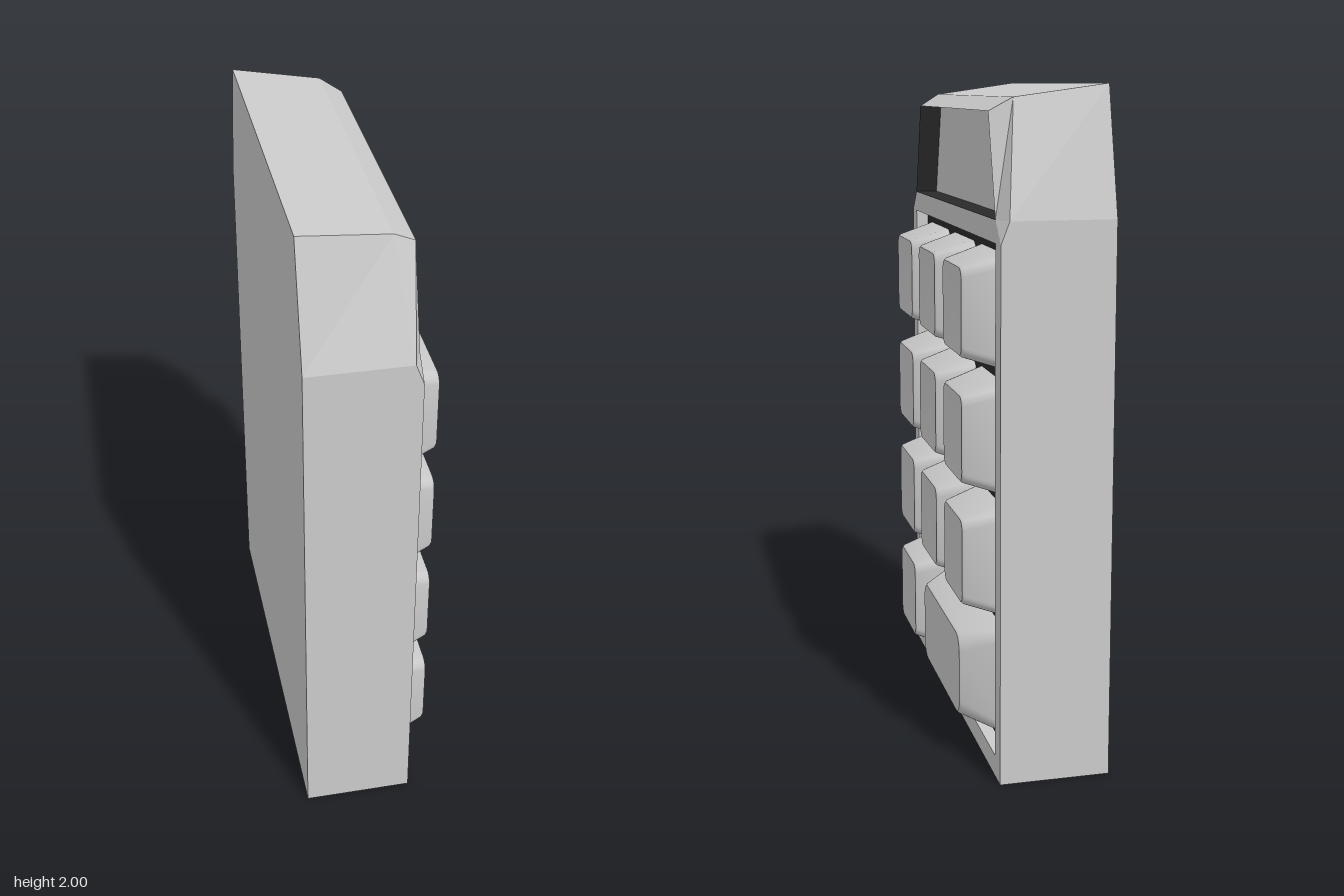
import * as THREE from 'three';
import { toCreasedNormals } from 'three/addons/utils/BufferGeometryUtils.js';

const grey = new THREE.MeshStandardMaterial({ color: 0xcccccc });
const dark = new THREE.MeshStandardMaterial({ color: 0x2a2a2a });

// Flat faces from polygons, each fanned from its first corner
function fromPolygons(polygons) {
  const pos = [];
  for (const p of polygons)
    for (let i = 1; i < p.length - 1; i++) pos.push(...p[0], ...p[i], ...p[i + 1]);
  const g = new THREE.BufferGeometry();
  g.setAttribute('position', new THREE.Float32BufferAttribute(pos, 3));
  g.computeVertexNormals();
  return g;
}

const mirror = ([x, y, z]) => [x, y, -z];
const mirrorFace = (face) => face.map(mirror).reverse();

// Inward walls of a recess whose rim runs anticlockwise seen from +x
const walls = (rim, floorX) => rim.map((p, i) => {
  const q = rim[(i + 1) % rim.length];
  return [p, q, [floorX, q[1], q[2]], [floorX, p[1], p[2]]];
});
const floorOf = (rim, floorX) => rim.map(([, y, z]) => [floorX, y, z]);

// Ring of a rounded rectangle facing +x, anticlockwise
function ring(x, halfZ, halfY, r) {
  const pts = [], steps = 5;
  const corners = [[-1, 1], [1, 1], [1, -1], [-1, -1]]; // signs of z, y
  corners.forEach(([sz, sy], c) => {
    for (let i = 0; i <= steps; i++) {
      // angle measured with -z as the horizontal axis
      const a = [0, 1, 2, 3][c] * Math.PI / 2 + (i / steps) * Math.PI / 2;
      pts.push([x, sy * (halfY - r) + r * Math.sin(a), sz * (halfZ - r) - r * Math.cos(a)]);
    }
  });
  return pts;
}

// Keycap: rounded sides tapering to a top that may be slightly dished
function keycap(halfZ, topZ, topRadius, dish) {
  const halfY = 0.165, topY = 0.125;
  const rings = [
    ring(0.08, halfZ, halfY, 0.035),
    ring(0.194, topZ + 0.006, topY + 0.005, topRadius),
    ring(0.2, topZ, topY, topRadius),
  ];
  for (const s of [0.75, 0.5, 0.25])
    rings.push(ring(0.2 - dish * (1 - s * s), topZ * s, topY * s, topRadius * s));
  const faces = [];
  for (let k = 0; k < rings.length - 1; k++) {
    const a = rings[k], b = rings[k + 1];
    a.forEach((p, i) => {
      const j = (i + 1) % a.length;
      faces.push([p, a[j], b[j], b[i]]);
    });
  }
  faces.push(rings[rings.length - 1]);
  return toCreasedNormals(fromPolygons(faces), 0.6);
}

export function createModel() {
  const model = new THREE.Group();
  const add = (name, geometry, material, parent = model) => {
    const mesh = new THREE.Mesh(geometry, material);
    mesh.name = name;
    parent.add(mesh);
    return mesh;
  };

  // Corners of the left half of the case
  const A = [-0.21, 0, 0.633], B = [0.12, 0, 0.633], C = [0.12, 1.57, 0.633];
  const D = [0.095, 1.635, 0.633], E = [-0.21, 1.635, 0.633], F = [-0.21, 2, 0.54];
  const G = [0.055, 1.963, 0.51], H = [0.12, 1.925, 0.485], I = [0.12, 1.635, 0.57];
  const P0 = [0.12, 0.065, 0.57], P1 = [0.12, 1.57, 0.57];
  const m = mirror;

  const sideFaces = [
    [A, B, C, D, E],  // side
    [E, D, G, F],     // slanted shoulder
    [D, I, H, G],     // bevel beside the screen
    [D, C, I],
    [C, P1, I],
    [B, P0, P1, C],   // frame beside the keys
  ];
  const crossFaces = [
    [B, m(B), m(P0), P0],             // frame below the keys
    [P1, m(P1), m(I), I],             // bar below the screen
    [H, m(H), m(G), G],               // lip above the screen
    [F, G, m(G), m(F)],               // top
    [m(A), A, E, F, m(F), m(E)],      // back
    [A, m(A), m(B), B],               // bottom
  ];
  add('case', fromPolygons([...sideFaces, ...sideFaces.map(mirrorFace), ...crossFaces]), grey);

  // Screen recess
  const screenRim = [I, m(I), m(H), H];
  add('screenSurround', fromPolygons(walls(screenRim, 0.05)), dark);
  add('screen', fromPolygons([floorOf(screenRim, 0.05)]), grey);

  // Key recess
  const keyRim = [P0, m(P0), m(P1), P1];
  add('keyWellWalls', fromPolygons(walls(keyRim, 0.08)), grey);
  add('keyWellFloor', fromPolygons([floorOf(keyRim, 0.08)]), dark);

  // Keys: three rows of three, then one square and one wide key
  const keys = new THREE.Group();
  keys.name = 'keys';
  model.add(keys);
  const squareKey = keycap(0.165, 0.125, 0.03, 0.006);
  const wideKey = keycap(0.35, 0.265, 0.05, 0);
  [1.37, 1.003, 0.637, 0.27].forEach((y, row) => {
    [0.37, 0, -0.37].forEach((z, col) => {
      if (row === 3 && col > 0) return;
      add('squareKey', squareKey, grey, keys).position.set(0, y, z);
    });
  });
  add('wideKey', wideKey, grey, keys).position.set(0, 0.27, -0.185);

  return model;
}
